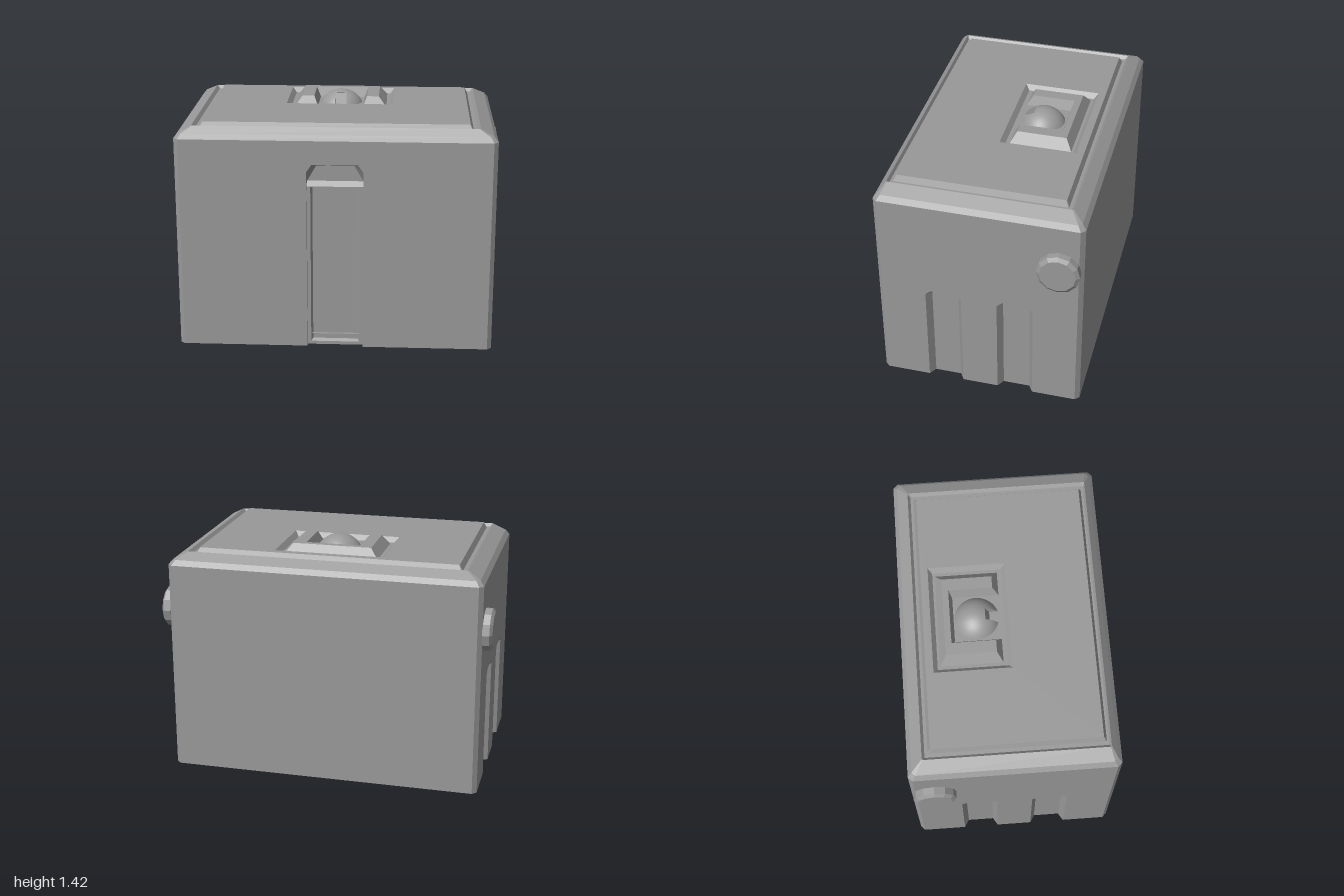
import * as THREE from 'three';
import { ParametricGeometry } from 'three/addons/geometries/ParametricGeometry.js';

const GREY = 0x999999;
const flat = new THREE.MeshStandardMaterial({ color: GREY, flatShading: true, side: THREE.DoubleSide });
const smooth = new THREE.MeshStandardMaterial({ color: GREY, side: THREE.DoubleSide });

function add(parent, name, geometry, material = flat) {
  const mesh = new THREE.Mesh(geometry, material);
  mesh.name = name;
  parent.add(mesh);
  return mesh;
}

// Surface through a list of point rows; each point is [x, y, z]
function loft(rows, closed) {
  const pos = [];
  for (let i = 0; i + 1 < rows.length; i++) {
    const n = rows[i].length;
    for (let j = 0; j < (closed ? n : n - 1); j++) {
      const k = (j + 1) % n;
      const a = rows[i][j], b = rows[i][k], c = rows[i + 1][k], d = rows[i + 1][j];
      pos.push(...a, ...b, ...c, ...a, ...c, ...d);
    }
  }
  const g = new THREE.BufferGeometry();
  g.setAttribute('position', new THREE.Float32BufferAttribute(pos, 3));
  g.computeVertexNormals();
  return g;
}

const shapeOf = (pts) => new THREE.Shape(pts.map(([x, y]) => new THREE.Vector2(x, y)));
const plate = (pts, hole) => {
  const s = shapeOf(pts);
  if (hole) s.holes.push(shapeOf(hole));
  return new THREE.ShapeGeometry(s);
};
const at = (pts, z) => pts.map(([x, y]) => [x, y, z]);
const rect = (x, y0, y1) => [[x, y0], [x, y1], [-x, y1], [-x, y0]];

// Door-like outline, open at the bottom, with cut upper corners
const arch = (cx, w, h, cw, ch) =>
  [[w, 0], [w, h - ch], [w - cw, h], [cw - w, h], [-w, h - ch], [-w, 0]].map(([x, y]) => [x + cx, y]);

// Horizontal eight-sided ring, running counter-clockwise from above
const ring = ([x, zb, zf, c, y]) => [
  [c - x, y, zf], [x - c, y, zf], [x, y, zf - c], [x, y, zb + c],
  [x - c, y, zb], [c - x, y, zb], [-x, y, zb + c], [-x, y, zf - c]];

const W = 0.944, D = 0.614, C = 0.026, H = 1.285;

// Wall in its local xy plane, with the given arches cut from its lower edge
function wallGeometry(half, arches) {
  const pts = [[-half, H], [-half, 0]];
  arches.forEach((a) => pts.push(...[...a].reverse()));
  pts.push([half, 0], [half, H]);
  return plate(pts);
}

function frontWall() {
  const g = new THREE.Group();
  g.name = 'frontWall';
  const outer = arch(0, 0.167, 1.142, 0.03, 0.045);
  const inner = arch(0, 0.167, 1.125, 0.055, 0.095);
  add(g, 'frontPanel', wallGeometry(W - C, [outer]));
  add(g, 'doorReveal', loft([at(outer, 0), at(inner, -0.05)]));
  add(g, 'doorRecessBack', plate(inner)).position.z = -0.05;
  // Door frame with a sloped ledge on top and a sunken leaf
  const opening = rect(0.146, 0.02, 1.0), leaf = rect(0.135, 0.033, 0.995);
  add(g, 'doorFrame', plate(rect(0.167, 0, 1.003), opening)).position.z = -0.03;
  add(g, 'doorLedge', loft([
    [[-0.167, 1.003, -0.03], [0.167, 1.003, -0.03]],
    [[-0.167, 1.033, -0.05], [0.167, 1.033, -0.05]]]));
  add(g, 'doorFrameEdge', loft([at(opening, -0.03), at(leaf, -0.048)], true));
  add(g, 'doorLeaf', plate(leaf)).position.z = -0.048;
  g.position.z = D;
  return g;
}

function sideWall(side) {
  const g = new THREE.Group();
  g.name = side > 0 ? 'leftWall' : 'rightWall';
  const centers = [-0.216, 0.216];
  const outer = centers.map((c) => arch(c, 0.108, 0.677, 0.035, 0.03));
  add(g, 'sidePanel', wallGeometry(D - C, outer));
  centers.forEach((c, i) => {
    const inner = arch(c, 0.08, 0.652, 0.022, 0.018);
    add(g, 'grooveWalls', loft([at(outer[i], 0), at(inner, -0.045)]));
    add(g, 'grooveBack', plate(inner)).position.z = -0.045;
  });
  g.rotation.y = side * Math.PI / 2;
  g.position.x = side * W;
  return g;
}

// Recessed underside that follows the grooves and the doorway
function floorGeometry() {
  const side = [[W, D - C], [W, 0.324], [W - 0.045, 0.296], [W - 0.045, 0.136], [W, 0.108],
    [W, -0.108], [W - 0.045, -0.136], [W - 0.045, -0.296], [W, -0.324], [W, C - D]];
  const pts = [[-0.167, D], [-0.167, D - 0.03], [0.167, D - 0.03], [0.167, D], [W - C, D],
    ...side, [W - C, -D], [C - W, -D], ...side.map(([x, z]) => [-x, -z]), [C - W, D]];
  return plate(pts).rotateX(Math.PI / 2).translate(0, 0.07, 0);
}

function roof() {
  const g = new THREE.Group();
  g.name = 'roof';
  const rows = [
    [W, -D, D, C, H], [0.92, -0.59, 0.59, 0.02, 1.315], [0.842, -0.526, 0.556, 0.006, 1.355],
    [0.825, -0.51, 0.546, 0.005, 1.335], [0.803, -0.492, 0.532, 0.005, 1.335],
    [0.785, -0.475, 0.515, 0.004, 1.37]].map(ring);
  add(g, 'roofEdge', loft(rows, true));
  // Flat top with a sunken tray
  const mouth = rect(0.33, -0.03, 0.43), base = rect(0.305, -0.005, 0.405);
  const top = rows[5].map(([x, , z]) => [x, -z]);
  add(g, 'roofTop', plate(top, mouth).rotateX(-Math.PI / 2)).position.y = 1.37;
  add(g, 'trayWalls', loft([at(mouth, 0), at(base, -0.03)], true).rotateX(-Math.PI / 2)).position.y = 1.37;
  add(g, 'trayFloor', plate(base).rotateX(-Math.PI / 2)).position.y = 1.34;
  return g;
}

// Bevelled U-shaped guard around the dome
function guard() {
  const g = new THREE.Group();
  g.name = 'domeGuard';
  const rows = [[0.285, -0.39, -0.02, 1.34], [0.238, -0.352, -0.055, 1.4],
    [0.165, -0.315, -0.055, 1.4], [0.14, -0.295, -0.02, 1.34]].map(([x, zb, zf, y]) =>
    [[x, y, zf], [x, y, zb], [-x, y, zb], [-x, y, zf]]);
  add(g, 'guardRail', loft(rows));
  const end = (k) => rows.map((r) => r[k]);
  const [a, b, c, d] = end(0), [e, f, h, i] = end(3);
  add(g, 'guardEnd', loft([[d, a], [c, b]]));
  add(g, 'guardEnd', loft([[e, i], [f, h]]));
  return g;
}

// Spherical cap with a slot cut into its front
function dome() {
  const g = new THREE.Group();
  g.name = 'dome';
  const R = 0.146, r = 0.13, s = 0.035, back = 0.05, base = 0.066;
  const height = (x, z) => Math.sqrt(R * R - x * x - z * z);
  const rim = (x) => Math.sqrt(Math.max(0, r * r - x * x));
  const patch = (x0, x1, front) => {
    const a0 = Math.asin(x0 / r), a1 = Math.asin(x1 / r);
    const geo = new ParametricGeometry((u, v, p) => {
      const x = r * Math.sin(a0 + (a1 - a0) * v);
      const z = -rim(x) + (front(x) + rim(x)) * u;
      p.set(x, height(x, z), z);
    }, 20, 12);
    geo.computeVertexNormals();
    add(g, 'domeCap', geo, smooth);
  };
  patch(-r, -s, rim);
  patch(-s, s, () => back);
  patch(s, r, rim);
  // Upright slot sides and a sloped slot end
  const wall = (path, slope) => add(g, 'slotWall', loft([
    path.map(([x, z]) => [x, base, z + slope]), path.map(([x, z]) => [x, height(x, z), z])]));
  const steps = [0, 1, 2, 3, 4, 5, 6].map((i) => back + (rim(s) - back) * i / 6);
  wall(steps.map((z) => [-s, z]).reverse(), 0);
  wall(steps.map((z) => [s, z]), 0);
  wall([[-s, back], [s, back]], 0.025);
  g.position.set(0, 1.276, -0.158);
  return g;
}

export function createModel() {
  const model = new THREE.Group();
  model.name = 'building';
  model.add(frontWall(), sideWall(1), sideWall(-1), roof(), guard(), dome());
  add(model, 'backWall', wallGeometry(W - C, []).rotateY(Math.PI)).position.z = -D;
  add(model, 'floor', floorGeometry());

  // Narrow bevels on the upright corners
  for (const [sx, sz] of [[1, 1], [1, -1], [-1, -1], [-1, 1]]) {
    const ends = [[sx * (W - C), sz * D], [sx * W, sz * (D - C)]];
    if (sx * sz < 0) ends.reverse();
    add(model, 'cornerBevel', loft([0, H].map((y) => ends.map(([x, z]) => [x, y, z]))));
  }

  // Round knobs high on both sides
  const profile = [[0.127, 0], [0.127, 0.042], [0.105, 0.058], [0, 0.058]];
  for (const side of [1, -1]) {
    const geo = new THREE.LatheGeometry(profile.map(([x, y]) => new THREE.Vector2(x, y)), 12);
    const knob = add(model, side > 0 ? 'leftKnob' : 'rightKnob', geo);
    knob.rotation.z = -side * Math.PI / 2;
    knob.position.set(side * 0.942, 0.995, -0.475);
  }
  return model;
}
